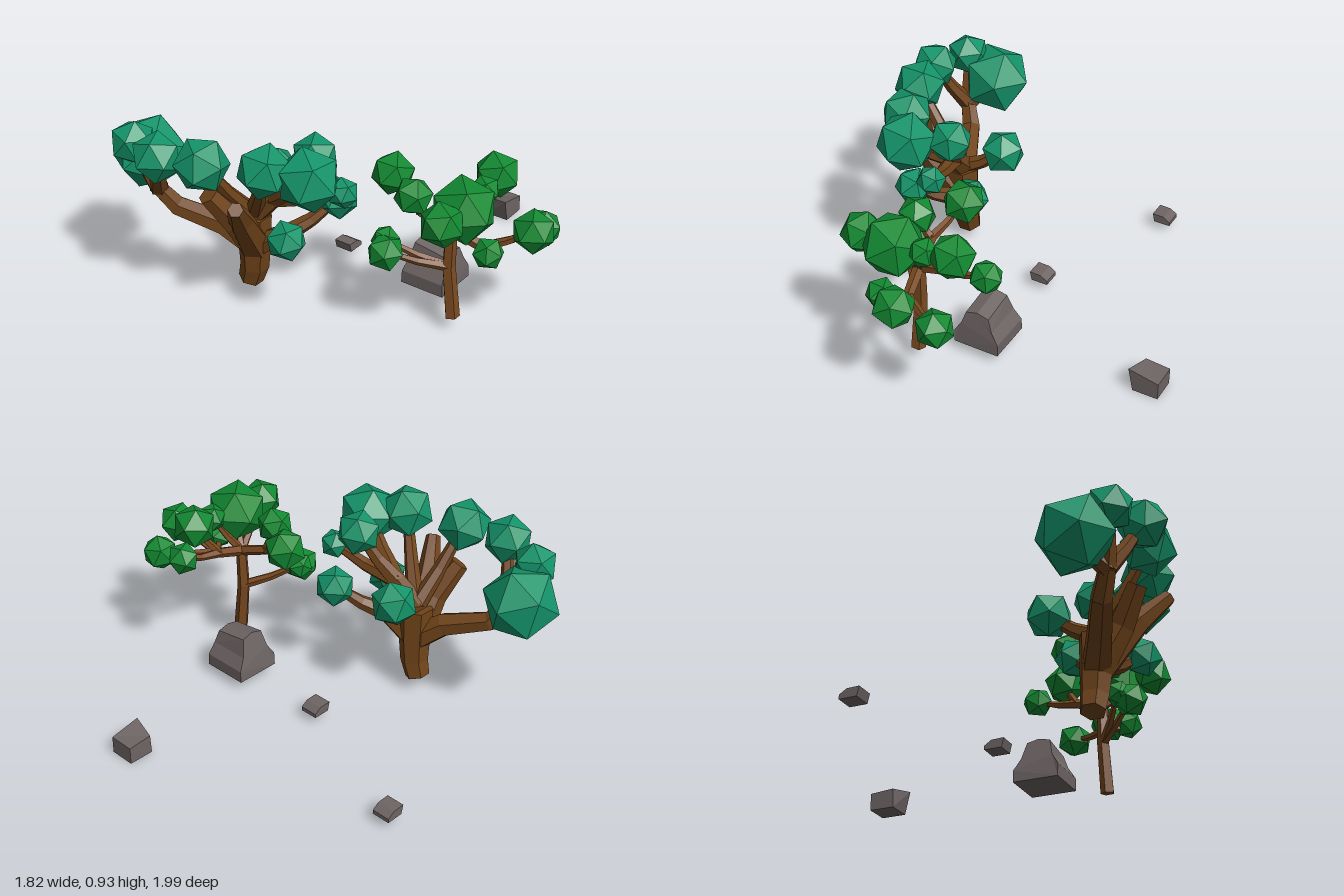
import * as THREE from 'three';

const material = (color) => new THREE.MeshStandardMaterial({ color, flatShading: true });
const stone = material(0x6e6464);
const ball = new THREE.IcosahedronGeometry(1, 0);
const vec = (x, y, z) => new THREE.Vector3(x, y, z);

// Limb along a path, its radius going evenly from r0 to r1
function limb(name, path, r0, r1, sides, mat) {
  const n = path.length - 1;
  const tangents = path.map((_, i) =>
    path[Math.min(i + 1, n)].clone().sub(path[Math.max(i - 1, 0)]).normalize());
  const frames = [new THREE.Quaternion().setFromUnitVectors(vec(0, 1, 0), tangents[0])];
  for (let i = 1; i <= n; i++) {
    frames.push(new THREE.Quaternion().setFromUnitVectors(tangents[i - 1], tangents[i]).multiply(frames[i - 1]));
  }
  const geo = new THREE.CylinderGeometry(1, 1, 1, sides, n, false, Math.PI / sides);
  const pos = geo.attributes.position;
  for (let i = 0; i < pos.count; i++) {
    const k = Math.round((pos.getY(i) + 0.5) * n);
    const v = vec(pos.getX(i), 0, pos.getZ(i)).multiplyScalar(r0 + (r1 - r0) * k / n);
    v.applyQuaternion(frames[k]).add(path[k]);
    pos.setXYZ(i, v.x, v.y, v.z);
  }
  geo.computeVertexNormals();
  const mesh = new THREE.Mesh(geo, mat);
  mesh.name = name;
  return mesh;
}

// A tree with its own bark, leaf colour and limb thickness; parts are added with the returned helpers
function startTree(name, sides, barkColor, leafColor, twigRadius, sag) {
  const group = new THREE.Group();
  group.name = name;
  const bark = material(barkColor);
  const leaf = material(leafColor);
  const addLimb = (part, path, r0, r1) => group.add(limb(part, path, r0, r1, sides, bark));

  // Each clump sits at the end of a slightly sagging branch from the joint
  const addClump = (joint, x, y, z, r) => {
    const end = vec(x, y, z);
    const middle = joint.clone().lerp(end, 0.5);
    middle.y -= sag;
    addLimb('branch', [joint, middle, end], twigRadius, twigRadius * 0.5);
    const mesh = new THREE.Mesh(ball, leaf);
    mesh.name = 'leafClump';
    mesh.position.copy(end);
    const turn = group.children.length;
    mesh.rotation.set(turn * 1.3, turn * 2.1, turn * 0.7);
    mesh.scale.setScalar(r * 1.04);
    group.add(mesh);
  };
  return { group, addLimb, addClump };
}

function largeTree() {
  const { group, addLimb, addClump } = startTree('largeTree', 6, 0x70441a, 0x14946a, 0.045, 0.015);
  const fork = vec(-0.475, 0.27, -0.335);
  const crown = vec(-0.48, 0.44, -0.33);
  const backFork = vec(-0.68, 0.54, -0.72);
  const frontFork = vec(-0.46, 0.55, -0.22);
  const lowFork = vec(-0.44, 0.36, -0.18);

  // Trunk and main limbs
  addLimb('trunk', [vec(-0.47, 0.07, -0.37), vec(-0.47, 0.15, -0.345), fork, crown], 0.06, 0.085);
  addLimb('backLimb', [fork, vec(-0.54, 0.37, -0.46), vec(-0.63, 0.44, -0.66), backFork], 0.07, 0.04);
  addLimb('leftLimb', [fork, vec(-0.6, 0.46, -0.34), vec(-0.7, 0.62, -0.4)], 0.08, 0.05);
  addLimb('sideLimb', [fork, vec(-0.65, 0.51, -0.26), vec(-0.77, 0.65, -0.18)], 0.08, 0.035);
  addLimb('frontLimb', [crown, frontFork], 0.06, 0.045);
  addLimb('lowLimb', [fork, lowFork], 0.065, 0.045);

  // Branches with leaves
  addClump(backFork, -0.59, 0.65, -0.85, 0.175);
  addClump(backFork, -0.73, 0.77, -0.81, 0.105);
  addClump(backFork, -0.8, 0.79, -0.6, 0.115);
  addClump(crown, -0.75, 0.8, -0.38, 0.125);
  addClump(crown, -0.65, 0.81, -0.11, 0.125);
  addClump(crown, -0.27, 0.57, -0.37, 0.108);
  addClump(frontFork, -0.55, 0.775, 0.05, 0.145);
  addClump(frontFork, -0.37, 0.78, -0.05, 0.105);
  addClump(frontFork, -0.38, 0.65, 0.11, 0.07);
  addClump(lowFork, -0.25, 0.52, -0.015, 0.095);
  addClump(lowFork, -0.59, 0.45, -0.05, 0.092);
  return group;
}

function smallTree() {
  const { group, addLimb, addClump } = startTree('smallTree', 5, 0x7a4a20, 0x128a32, 0.024, 0.01);
  const knee = vec(-0.175, 0.32, 0.54);
  const crown = vec(-0.17, 0.52, 0.545);
  const frontFork = vec(-0.14, 0.46, 0.69);
  const backFork = vec(-0.2, 0.57, 0.4);
  const leftFork = vec(-0.03, 0.56, 0.555);

  // Trunk and main limbs
  addLimb('trunk', [vec(-0.18, 0.065, 0.57), knee, crown], 0.036, 0.028);
  for (const joint of [frontFork, backFork, leftFork]) addLimb('mainLimb', [crown, joint], 0.028, 0.025);

  // Branches with leaves
  addClump(knee, -0.39, 0.435, 0.345, 0.085);
  addClump(knee, -0.34, 0.46, 0.31, 0.065);
  addClump(frontFork, 0.1, 0.495, 0.85, 0.088);
  addClump(frontFork, -0.07, 0.58, 0.9, 0.097);
  addClump(frontFork, -0.225, 0.5, 0.77, 0.072);
  addClump(backFork, -0.14, 0.675, 0.21, 0.1);
  addClump(backFork, -0.265, 0.68, 0.405, 0.088);
  addClump(leftFork, 0.06, 0.715, 0.63, 0.105);
  addClump(leftFork, 0.19, 0.615, 0.57, 0.077);
  addClump(crown, -0.4, 0.685, 0.64, 0.1);
  addClump(crown, -0.235, 0.68, 0.645, 0.148);
  addClump(crown, -0.075, 0.7, 0.65, 0.07);
  return group;
}

// Stone: front outline extruded from z0 to z1, then reshaped by a rule
function rock(name, outline, z0, z1, reshape) {
  const shape = new THREE.Shape(outline.map(([x, y]) => new THREE.Vector2(x, y)));
  const geo = new THREE.ExtrudeGeometry(shape, { depth: z1 - z0, bevelEnabled: false });
  geo.translate(0, 0, z0);
  const pos = geo.attributes.position;
  for (let i = 0; reshape && i < pos.count; i++) {
    const v = vec().fromBufferAttribute(pos, i);
    reshape(v, v.z > (z0 + z1) / 2);
    pos.setXYZ(i, v.x, v.y, v.z);
  }
  geo.computeVertexNormals();
  const mesh = new THREE.Mesh(geo, stone);
  mesh.name = name;
  return mesh;
}

export function createModel() {
  const model = new THREE.Group();
  model.name = 'treesAndRocks';
  model.add(largeTree(), smallTree());

  // Boulder: back leans inward, crown drops toward the front
  model.add(rock('boulder', [
    [-0.065, 0.05], [0.165, 0.05], [0.165, 0.11], [0.13, 0.17], [0.108, 0.255],
    [0.05, 0.27], [-0.01, 0.255], [-0.03, 0.17], [-0.065, 0.115],
  ], 0.21, 0.44, (v, front) => {
    v.z += Math.max(0, v.y - 0.1) * (front ? -0.12 : 0.25);
    if (front && v.y > 0.2) v.y -= 0.025;
  }));

  // Slanted stone
  model.add(rock('slantedStone', [
    [0.78, 0], [0.905, 0], [0.905, 0.085], [0.755, 0.115],
  ], 0.16, 0.285, (v, front) => {
    if (!front && v.y > 0.1) v.add(vec(0.03, -0.02, 0));
  }));

  // Two matching pebbles
  const farPebble = rock('farPebble', [
    [0.335, 0.04], [0.42, 0.04], [0.42, 0.06], [0.385, 0.083], [0.325, 0.085],
  ], -0.975, -0.885);
  const nearPebble = farPebble.clone();
  nearPebble.name = 'nearPebble';
  nearPebble.position.set(-0.315, 0, 0.74);
  model.add(farPebble, nearPebble);

  return model;
}
